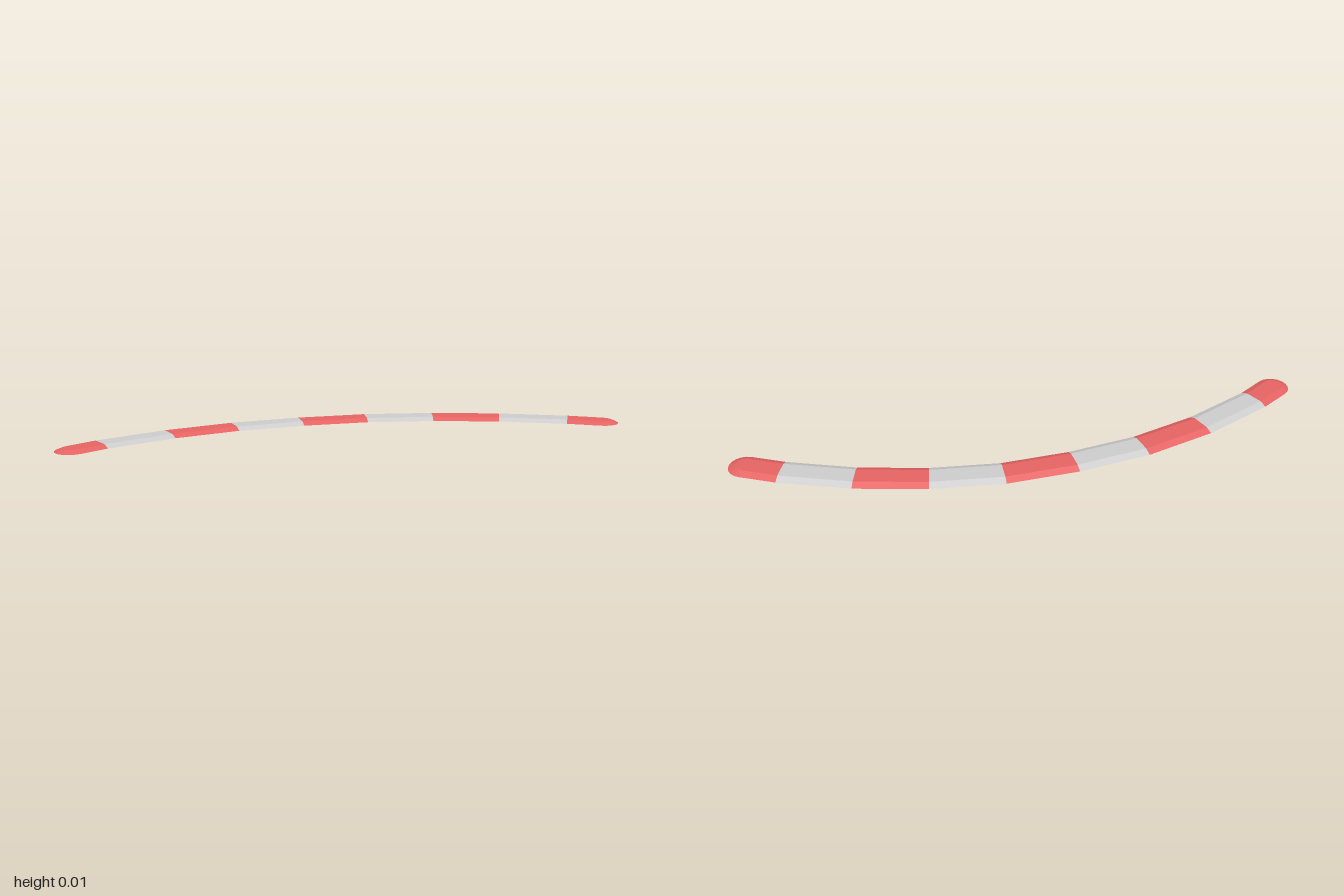
import * as THREE from 'three';

const HEIGHT = 0.012, BASE = 0.065, TOP = 0.037, CAP_STEPS = 10;

// Centre line of the curved kerb on the ground: x, z at each colour change
const PATH = [
  [-0.935, -0.54], [-0.807, -0.541], [-0.513, -0.503], [-0.241, -0.43], [0.019, -0.318],
  [0.262, -0.182], [0.484, -0.008], [0.682, 0.19], [0.858, 0.414], [0.935, 0.535],
].map(([x, z]) => new THREE.Vector2(x, z));
const LAST = PATH.length - 1;

function tangent(i) {
  const a = PATH[Math.max(i - 1, 0)], b = PATH[Math.min(i + 1, LAST)];
  return b.clone().sub(a).normalize();
}

// Point at an angle around station i: 0 = outer side, PI/2 = forward, PI = inner side
function around(i, angle, radius) {
  const t = tangent(i), c = Math.cos(angle) * radius, s = Math.sin(angle) * radius;
  return [PATH[i].x + t.y * c + t.x * s, PATH[i].y - t.x * c + t.y * s];
}

// Plan outline as station/angle pairs; a rounded end gets a half circle
function outline(i) {
  const ring = [];
  const add = (station, from, steps) => {
    for (let k = 0; k <= steps; k++) ring.push([station, from + (Math.PI * k) / steps]);
  };
  add(i, Math.PI, i === 0 ? CAP_STEPS : 1);
  add(i + 1, 0, i + 1 === LAST ? CAP_STEPS : 1);
  return ring;
}

function blockGeometry(i) {
  const ring = outline(i), n = ring.length, pos = [];
  const base = ring.map(([s, a]) => { const p = around(s, a, BASE); return [p[0], 0, p[1]]; });
  const top = ring.map(([s, a]) => { const p = around(s, a, TOP); return [p[0], HEIGHT, p[1]]; });
  const tri = (...pts) => pts.forEach((p) => pos.push(...p));
  // Flat top and underside
  for (let k = 1; k < n - 1; k++) {
    tri(top[0], top[k + 1], top[k]);
    tri(base[0], base[k], base[k + 1]);
  }
  // Sloping sides, left open where blocks meet
  for (let k = 0; k < n; k++) {
    const j = (k + 1) % n;
    const joint = ring[k][0] === ring[j][0] &&
      ((ring[k][0] !== 0 && ring[k][0] !== LAST));
    if (joint) continue;
    tri(base[k], top[k], top[j]);
    tri(base[k], top[j], base[j]);
  }
  const geo = new THREE.BufferGeometry();
  geo.setAttribute('position', new THREE.Float32BufferAttribute(pos, 3));
  geo.computeVertexNormals();
  return geo;
}

export function createModel() {
  const group = new THREE.Group();
  group.name = 'curvedKerb';
  const red = new THREE.MeshStandardMaterial({ color: 0xe56262, flatShading: true });
  const grey = new THREE.MeshStandardMaterial({ color: 0xcccccc, flatShading: true });
  // Alternating blocks, red at both ends
  for (let i = 0; i < LAST; i++) {
    const mesh = new THREE.Mesh(blockGeometry(i), i % 2 ? grey : red);
    mesh.name = i === 0 || i === LAST - 1 ? 'roundedEndBlock' : i % 2 ? 'greyBlock' : 'redBlock';
    group.add(mesh);
  }
  return group;
}
